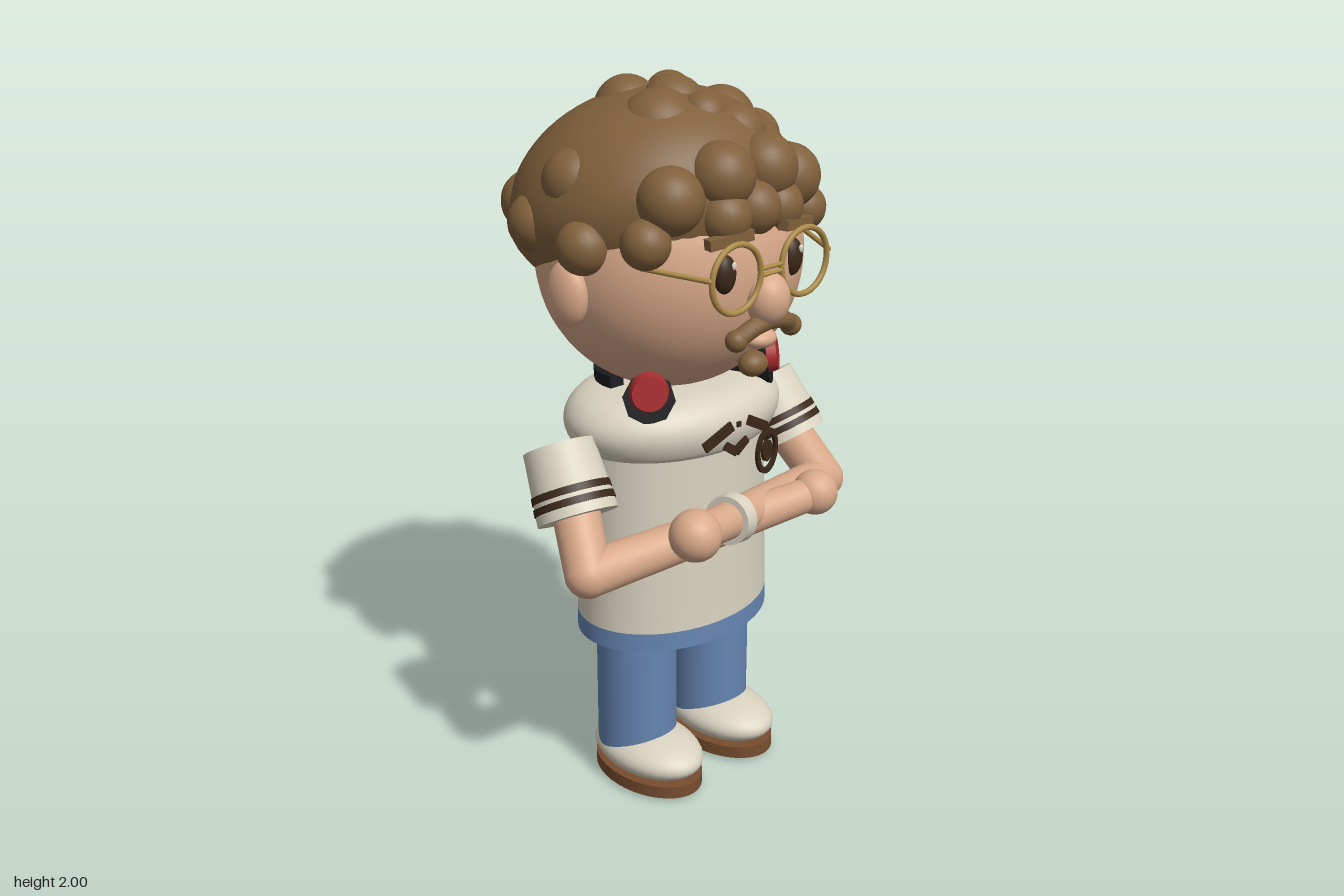
import * as THREE from 'three';

const paint = (name, color) => {
  const m = new THREE.MeshStandardMaterial({ color });
  m.name = name;
  return m;
};
const V = (x, y, z) => new THREE.Vector3(x, y, z);

export function createModel() {
  const root = new THREE.Group();
  root.name = 'figure';
  const skin = paint('skin', 0xd9a98a), hair = paint('hair', 0x80603c), cream = paint('cream', 0xd9d2c0);
  const denim = paint('denim', 0x6685b2), dark = paint('darkBrown', 0x3a2818), black = paint('black', 0x1c1d20);
  const red = paint('red', 0xa82c2e), gold = paint('gold', 0xac8a48), sole = paint('sole', 0x784d2e);
  const grey = paint('grey', 0x8c8878);

  const add = (name, geo, mat, x = 0, y = 0, z = 0) => {
    const m = new THREE.Mesh(geo, mat);
    m.name = name;
    m.position.set(x, y, z);
    root.add(m);
    return m;
  };
  // Ellipsoid with radii rx, ry, rz
  const ball = (name, mat, x, y, z, rx, ry = rx, rz = rx, seg = 24) => {
    const m = add(name, new THREE.SphereGeometry(1, seg, Math.round(seg * 0.7)), mat, x, y, z);
    m.scale.set(rx, ry, rz);
    return m;
  };
  // Tapered rod running from a to b
  const rod = (name, mat, a, b, ra, rb = ra, seg = 28) => {
    const d = b.clone().sub(a);
    const m = add(name, new THREE.CylinderGeometry(rb, ra, d.length(), seg), mat);
    m.position.copy(a).addScaledVector(d, 0.5);
    m.quaternion.setFromUnitVectors(V(0, 1, 0), d.normalize());
    return m;
  };
  const lathe = (name, mat, pts, sz = 1) => {
    const m = add(name, new THREE.LatheGeometry(pts.map(p => new THREE.Vector2(...p)), 56), mat);
    m.scale.z = sz;
    return m;
  };

  // Shoes and trouser legs
  for (const s of [-1, 1]) {
    add('soleInsert', new THREE.CylinderGeometry(0.058, 0.04, 0.012, 24), grey, s * 0.148, 0.006, 0.083);
    const so = add('shoeSole', new THREE.CylinderGeometry(1, 1, 0.037, 40), sole, s * 0.148, 0.0285, 0.083);
    so.scale.set(0.123, 1, 0.183);
    ball('shoe', cream, s * 0.148, 0.09, 0.083, 0.125, 0.066, 0.187, 32);
    add('trouserLeg', new THREE.CylinderGeometry(0.114, 0.114, 0.39, 36), denim, s * 0.148, 0.295, 0.035);
  }

  // Oval torso: waistband, shirt and rounded yoke
  const oval = 0.74;
  lathe('waistband', denim, [[0, 0.468], [0.307, 0.468], [0.307, 0.468], [0.306, 0.522]], oval).position.z = 0.03;
  lathe('shirt', cream, [[0.306, 0.52], [0.303, 0.6], [0.297, 0.8], [0.29, 1.05]], oval).position.z = 0.03;
  const yokePts = new THREE.SplineCurve([[0.27, 1.02], [0.31, 1.035], [0.336, 1.085], [0.328, 1.13], [0.285, 1.168], [0.2, 1.185], [0, 1.19]]
    .map(p => new THREE.Vector2(...p))).getPoints(24).map(p => [Math.max(p.x, 0), p.y]);
  lathe('shirtYoke', cream, yokePts, oval).position.z = 0.03;

  // Flat shirt pattern
  for (const s of [-1, 1]) {
    const bar = add('shirtBar', new THREE.BoxGeometry(0.1, 0.028, 0.009), dark, s * 0.075, 1.09, 0.278);
    bar.rotation.set(0, s * 0.18, -s * 0.48);
    const chevron = add('shirtChevron', new THREE.BoxGeometry(0.052, 0.024, 0.009), dark, s * 0.02, 1.04, 0.272);
    chevron.rotation.z = s * 0.6;
  }
  add('shirtDot', new THREE.BoxGeometry(0.014, 0.014, 0.009), dark, 0, 1.108, 0.279);
  const ringShape = new THREE.Shape().absellipse(0, 0, 0.05, 0.066, 0, Math.PI * 2);
  ringShape.holes.push(new THREE.Path().absellipse(0, 0, 0.036, 0.05, 0, Math.PI * 2, true));
  const flat = { depth: 0.009, bevelEnabled: false, curveSegments: 24 };
  add('shirtRing', new THREE.ExtrudeGeometry(ringShape, flat), dark, 0.132, 0.99, 0.258).rotation.y = 0.15;
  const spot = new THREE.Shape().absellipse(0, 0, 0.022, 0.031, 0, Math.PI * 2);
  add('shirtSpot', new THREE.ExtrudeGeometry(spot, flat), dark, 0.132, 0.99, 0.258).rotation.y = 0.15;

  // Sleeves with stripes and folded arms
  for (const s of [-1, 1]) {
    const top = V(s * 0.39, 1.072, 0), hem = V(s * 0.413, 0.908, 0.1);
    rod('sleeve', cream, top, hem, 0.096, 0.109, 36);
    for (const t of [0.6, 0.76]) {
      const r = 0.096 + 0.013 * t + 0.003;
      rod('sleeveStripe', dark, top.clone().lerp(hem, t), top.clone().lerp(hem, t + 0.1), r, r + 0.0014, 36);
    }
    const elbow = V(s * 0.46, 0.79, 0.19);
    const wrist = s > 0 ? V(-0.21, 0.882, 0.35) : V(0.22, 0.852, 0.335);
    rod('upperArm', skin, top.clone().lerp(hem, 0.8), elbow, 0.064, 0.062);
    ball('elbow', skin, elbow.x, elbow.y, elbow.z, 0.0625);
    rod('forearm', skin, elbow, wrist, 0.062, 0.048);
    const h = s > 0 ? 0.07 : 0.064;
    ball('hand', skin, wrist.x - s * 0.028, wrist.y + 0.004, wrist.z + 0.008, h);
    if (s > 0) rod('wristband', cream, elbow.clone().lerp(wrist, 0.745), elbow.clone().lerp(wrist, 0.81), 0.069, 0.067);
  }

  // Headphones resting round the neck
  const bandShape = new THREE.Shape().absarc(0, 0, 0.205, 0.05, Math.PI - 0.05);
  bandShape.absarc(0, 0, 0.16, Math.PI - 0.05, 0.05, true);
  const band = add('headphoneBand', new THREE.ExtrudeGeometry(bandShape, { depth: 0.034, bevelEnabled: false, curveSegments: 40 }),
    black, 0, 1.188, 0.012);
  band.rotation.x = -Math.PI / 2 - 0.08;
  for (const s of [-1, 1]) {
    const at = (k, y) => V(s * (0.2 + 0.6 * k), y, 0.14 + 0.75 * k);
    rod('headphoneCup', black, at(-0.07, 1.19), at(0.048, 1.21), 0.035, 0.07, 8);
    rod('headphonePad', red, at(0.04, 1.226), at(0.072, 1.23), 0.054, 0.046, 24);
  }

  // Head, ears and face
  ball('head', skin, 0, 1.535, 0.015, 0.368, 0.365, 0.35, 48);
  ball('nose', skin, 0, 1.475, 0.372, 0.06, 0.07, 0.057);
  ball('lips', skin, 0, 1.365, 0.35, 0.048, 0.026, 0.038);
  ball('goatee', hair, 0, 1.29, 0.327, 0.043, 0.034, 0.036);
  for (const s of [-1, 1]) {
    ball('ear', skin, s * 0.372, 1.49, 0.03, 0.042, 0.087, 0.066);
    ball('eye', dark, s * 0.124, 1.555, 0.34, 0.033, 0.05, 0.024);
    ball('eyeGlint', cream, s * 0.124 + 0.012, 1.578, 0.36, 0.008, 0.011, 0.005, 12);
    const brow = add('eyebrow', new THREE.BoxGeometry(0.13, 0.028, 0.03), hair, s * 0.122, 1.646, 0.352);
    brow.rotation.set(0, s * 0.2, -s * 0.1);
    const curve = new THREE.CatmullRomCurve3([V(0, 1.418, 0.375), V(s * 0.05, 1.412, 0.377), V(s * 0.095, 1.388, 0.365)]);
    add('moustache', new THREE.TubeGeometry(curve, 14, 0.024, 12), hair);
    ball('moustacheTip', hair, s * 0.102, 1.382, 0.362, 0.029);

    // Spectacles
    add('spectacleRim', new THREE.TorusGeometry(0.087, 0.008, 10, 40), gold, s * 0.125, 1.552, 0.382);
    rod('spectacleHinge', gold, V(s * 0.208, 1.562, 0.382), V(s * 0.225, 1.565, 0.378), 0.007);
    rod('spectacleArm', gold, V(s * 0.222, 1.565, 0.38), V(s * 0.295, 1.58, 0.22), 0.007);
  }
  for (const y of [1.545, 1.562]) rod('spectacleBridge', gold, V(-0.042, y, 0.384), V(0.042, y, 0.384), 0.006);

  // Tilted hair cap, its lower rim drawn in and pushed forward
  const cap = [[0, -0.056], [0.33, -0.056], [0.35, -0.03], [0.37, 0.005], [0.384, 0.04]];
  for (let i = 0; i <= 20; i++) {
    const a = (i / 20) * Math.PI / 2;
    cap.push([Math.max(0, 0.391 * Math.cos(a)), 0.08 + 0.315 * Math.sin(a)]);
  }
  const capMesh = lathe('hairCap', hair, cap);
  const capPos = capMesh.geometry.attributes.position;
  for (let i = 0; i < capPos.count; i++) {
    const low = Math.max(0, 0.08 - capPos.getY(i)) / 0.136;
    capPos.setZ(i, capPos.getZ(i) + 0.028 * low);
  }
  capMesh.position.set(0, 1.57, -0.02);
  capMesh.rotation.x = -0.31;

  // Curl: direction from the cap centre, radius, and how far its top lies from that centre
  const curl = (x, y, z, r, reach) => {
    const p = V(x, y, z).setLength(reach - r).add(capMesh.position);
    ball('hairCurl', hair, p.x, p.y, p.z, r);
  };
  // Fringe, mirrored
  for (const s of [-1, 1]) {
    curl(s * 0.225, 0.175, 0.272, 0.087, 0.461);
    curl(s * 0.078, 0.215, 0.298, 0.088, 0.463);
    curl(s * 0.29, 0.07, 0.25, 0.064, 0.45);
    curl(s * 0.1, 0.125, 0.345, 0.07, 0.431);
  }
  curl(0, 0.135, 0.35, 0.07, 0.431);
  const crown = [
    [-0.05, 0.35, -0.08, 0.088], [-0.1, 0.34, 0.1, 0.115], [0, 0.36, 0.05, 0.09], [0.15, 0.32, 0.09, 0.092],
    [0.085, 0.31, 0.21, 0.088], [0.23, 0.28, -0.09, 0.092], [0.07, 0.31, -0.21, 0.07], [0.24, 0.26, 0.12, 0.072],
    [0.08, 0.36, -0.05, 0.066], [0, 0.34, 0.16, 0.066], [0.15, 0.23, -0.27, 0.06]
  ];
  for (const c of crown) curl(...c, 0.431);
  const sides = [
    [-0.33, 0.21, 0, 0.088], [-0.39, 0.05, 0.1, 0.072], [-0.37, 0.08, -0.12, 0.08], [-0.27, 0.1, -0.27, 0.085],
    [-0.165, 0.01, -0.36, 0.085], [0.37, 0.09, -0.04, 0.098], [0.4, 0.01, 0.02, 0.065], [0.28, 0.185, 0.2, 0.066],
    [0.32, 0.21, -0.17, 0.066], [0.35, 0.04, -0.17, 0.078], [0.27, 0, -0.28, 0.082]
  ];
  for (const c of sides) curl(...c, 0.436);
  return root;
}
